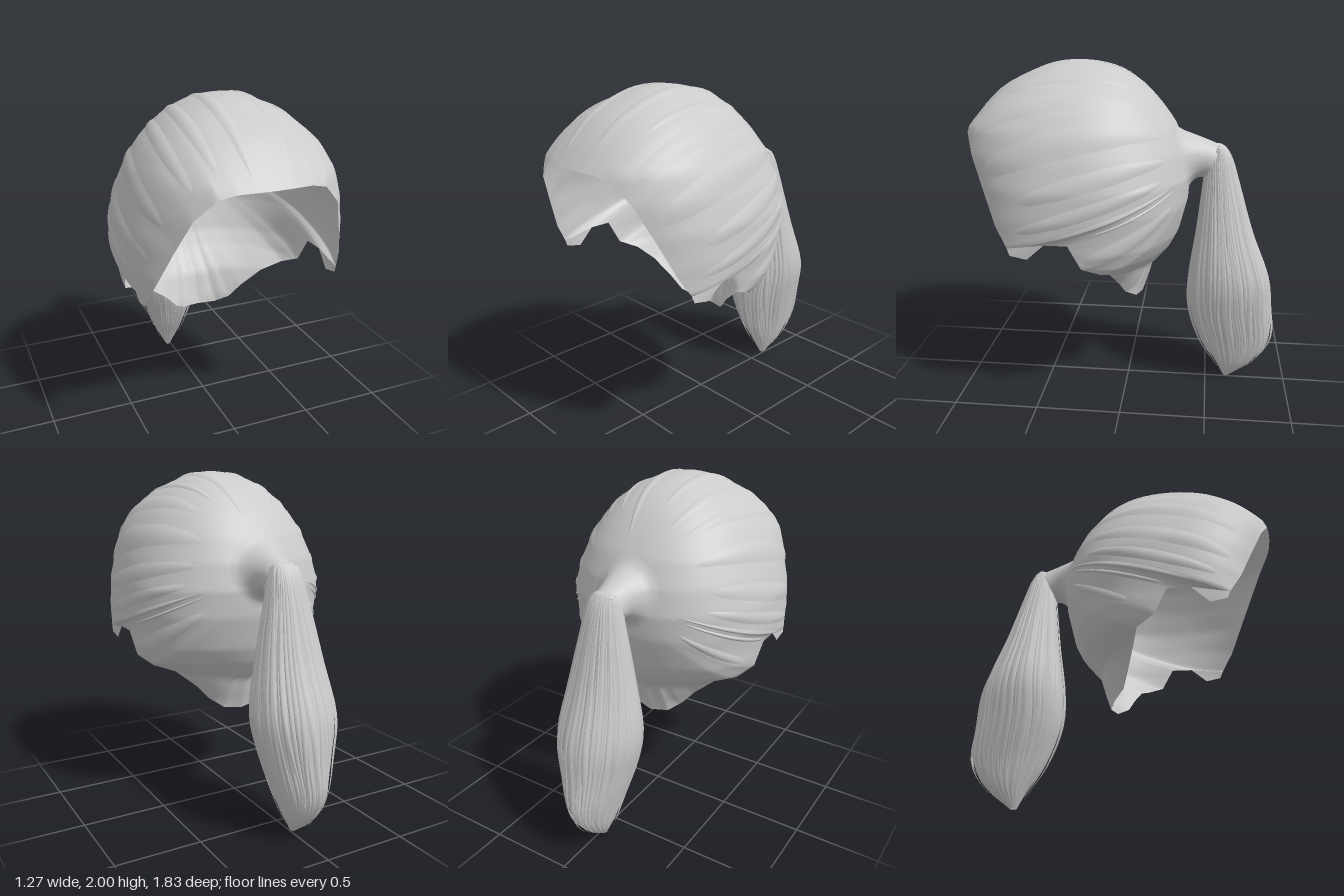
import * as THREE from 'three';

const V = (x, y, z) => new THREE.Vector3(x, y, z);
const material = new THREE.MeshStandardMaterial({ color: 0xcccccc, side: THREE.DoubleSide });

// Grid surface from fn(u, v), optionally closed around u
function gridMesh(name, fn, nu, nv, closed = false) {
  const pos = [], idx = [], cols = closed ? nu : nu + 1;
  for (let j = 0; j <= nv; j++)
    for (let i = 0; i < cols; i++) pos.push(...fn(i / nu, j / nv).toArray());
  for (let j = 0; j < nv; j++)
    for (let i = 0; i < nu; i++) {
      const a = j * cols + i, b = j * cols + (i + 1) % cols, c = a + cols, d = b + cols;
      idx.push(a, c, b, b, c, d);
    }
  const g = new THREE.BufferGeometry();
  g.setAttribute('position', new THREE.Float32BufferAttribute(pos, 3));
  g.setIndex(idx);
  g.computeVertexNormals();
  const mesh = new THREE.Mesh(g, material);
  mesh.name = name;
  return mesh;
}

function seeded(seed) {
  return () => (seed = (seed * 16807) % 2147483647) / 2147483647;
}

// Skull cross-sections: y, half width, front z, back z
const SKULL = [
  [2.0, 0, 0.3, 0.3], [1.95, 0.2, 0.53, 0.04], [1.86, 0.34, 0.71, -0.1], [1.75, 0.45, 0.83, -0.2],
  [1.64, 0.52, 0.92, -0.28], [1.5, 0.575, 0.94, -0.34], [1.35, 0.61, 0.93, -0.37],
  [1.2, 0.61, 0.9, -0.36], [1.0, 0.59, 0.85, -0.31], [0.9, 0.56, 0.8, -0.26],
  [0.77, 0.45, 0.7, -0.15], [0.58, 0.3, 0.6, -0.09],
];
const CENTER = V(0, 1.25, 0.25);

function insideSkull(p) {
  if (p.y >= 2) return false;
  let i = 0;
  while (i < SKULL.length - 2 && p.y < SKULL[i + 1][0]) i++;
  const A = SKULL[i], B = SKULL[i + 1];
  const k = Math.min(1, (A[0] - p.y) / (A[0] - B[0]));
  const mix = f => f(A) + (f(B) - f(A)) * k;
  const w = Math.sqrt(mix(s => s[1] ** 2));
  const d = Math.sqrt(mix(s => ((s[2] - s[3]) / 2) ** 2));
  const zc = mix(s => (s[2] + s[3]) / 2);
  return Math.abs(p.x / w) ** 2.3 + Math.abs((p.z - zc) / d) ** 2.3 < 1;
}

function skullRadius(dir) {
  let lo = 0, hi = 1.6;
  for (let i = 0; i < 24; i++) {
    const m = (lo + hi) / 2;
    if (insideSkull(CENTER.clone().addScaledVector(dir, m))) lo = m; else hi = m;
  }
  return lo;
}

// Hairline, from mid forehead down the left side to the nape, then mirrored
const HALF = [
  [0, 1.64, 0.92], [0.1, 1.64, 0.915], [0.2, 1.637, 0.9], [0.29, 1.615, 0.88], [0.395, 1.51, 0.83],
  [0.47, 1.32, 0.75], [0.53, 1.15, 0.68], [0.565, 1.03, 0.61], [0.58, 1.06, 0.4], [0.58, 1.06, 0.27],
  [0.56, 0.92, 0.2], [0.5, 0.87, 0.1], [0.37, 0.82, 0.07], [0.25, 0.72, 0.03], [0.18, 0.64, 0],
  [0.11, 0.59, -0.06], [0, 0.58, -0.09],
].map(p => V(...p));
const LOOP = [...HALF, ...HALF.slice(1, -1).reverse().map(p => V(-p.x, p.y, p.z))];

function hairline(u) {
  const t = (((u % 1) + 1) % 1) * LOOP.length, i = Math.floor(t) % LOOP.length;
  return LOOP[i].clone().lerp(LOOP[(i + 1) % LOOP.length], t - Math.floor(t));
}

const POLE = V(0, 0.21, -0.65).normalize();
const POLE_UP = V(0, -POLE.z, POLE.y);
const NECK = 0.16, START = 0.27;

// Point on the combed hair: v = 0 at the tie, v = 1 at the hairline
function capPoint(u, v, lift = 0) {
  const ray = hairline(u).sub(CENTER), reach = ray.length();
  const dir = ray.normalize(), full = POLE.angleTo(dir);
  const side = dir.clone().addScaledVector(POLE, -dir.dot(POLE)).normalize();
  const scale = reach / skullRadius(dir);
  const onSkull = k => {
    const a = START + (full - START) * k;
    const d = POLE.clone().multiplyScalar(Math.cos(a)).addScaledVector(side, Math.sin(a));
    const r = skullRadius(d) * (1 + (scale - 1) * k * k) + lift;
    return CENTER.clone().addScaledVector(d, r);
  };
  if (v >= NECK) return onSkull((v - NECK) / (1 - NECK));
  // Narrow neck gathered into the tie
  const up = side.dot(POLE_UP);
  const end = V(side.x * 0.1, 1.42 + up * 0.095, -0.5 - up * 0.05);
  const mid = V(side.x * 0.095, 1.45 + up * 0.115, -0.42 - up * 0.015);
  return new THREE.QuadraticBezierCurve3(end, mid, onSkull(0)).getPoint(v / NECK);
}

// Ponytail sections, top to tip: y, centre z, depth radius, width radius
const TAIL = [
  [1.525, -0.53, 0, 0], [1.51, -0.535, 0.035, 0.07], [1.44, -0.54, 0.075, 0.1], [1.3, -0.555, 0.105, 0.13],
  [1.0, -0.585, 0.165, 0.19], [0.72, -0.62, 0.235, 0.23], [0.5, -0.635, 0.25, 0.19],
  [0.28, -0.675, 0.225, 0.13], [0.12, -0.675, 0.13, 0.08], [0, -0.635, 0.02, 0.015],
];
const tailPath = new THREE.CatmullRomCurve3(TAIL.map(s => V(s[0], s[1], s[2])), false, 'catmullrom');
const tailWidth = new THREE.CatmullRomCurve3(TAIL.map(s => V(s[3], 0, 0)), false, 'catmullrom');

function tailPoint(angle, t, size) {
  const s = tailPath.getPoint(t), w = tailWidth.getPoint(t).x;
  return V(Math.sin(angle) * w * size - 0.02 * t, s.x, s.y + Math.cos(angle) * s.z * size);
}

export function createModel() {
  const model = new THREE.Group();
  model.name = 'ponytailHair';
  const rand = seeded(4711);

  // Combed-back cap
  model.add(gridMesh('hairCap', (u, v) => capPoint(u, v), LOOP.length * 6, 36, true));

  // Slightly raised strands running from the tie towards the hairline
  const strands = new THREE.Group();
  strands.name = 'combedStrands';
  for (const u of [0.03, 0.075, 0.11, 0.145, 0.175, 0.2, 0.225, 0.265, 0.305])
    for (const sign of [1, -1]) {
      const from = 0.25 + rand() * 0.2, to = 0.8 + rand() * 0.18, width = 0.006 + rand() * 0.005;
      strands.add(gridMesh('combedStrand', (a, b) => {
        const fade = Math.sqrt(Math.max(0, Math.sin(Math.PI * b)));
        return capPoint(sign * u + (a - 0.5) * width * 2 * (0.3 + 0.7 * fade),
          from + (to - from) * b, 0.008 * Math.sin(Math.PI * a) * fade + 0.001);
      }, 4, 18));
    }
  model.add(strands);

  // Pointed sideburns in front of the ears
  for (const s of [1, -1]) {
    const top = [V(s * 0.565, 1.03, 0.61), V(s * 0.58, 1.06, 0.4)];
    const low = [V(s * 0.57, 0.99, 0.595), V(s * 0.57, 0.97, 0.5)];
    model.add(gridMesh(s > 0 ? 'leftSideburn' : 'rightSideburn', (u, v) => {
      const k = s > 0 ? u : 1 - u;
      return top[0].clone().lerp(top[1], k).lerp(low[0].clone().lerp(low[1], k), v);
    }, 2, 2));
  }

  // Ponytail: ridged core with overlapping locks that fray at the tips
  const tail = new THREE.Group();
  tail.name = 'ponytail';
  tail.add(gridMesh('ponytailCore', (u, v) =>
    tailPoint(u * Math.PI * 2, v, 0.9 + 0.03 * Math.sin(u * Math.PI * 2 * 24)), 96, 44, true));
  const count = 90;
  for (let i = 0; i < count; i++) {
    const angle = ((i + rand() * 0.6) / count) * Math.PI * 2;
    const size = 0.89 + rand() * 0.13, end = 0.82 + rand() * 0.15;
    const width = 0.045 + rand() * 0.04, sway = (rand() - 0.5) * 0.2, phase = rand() * 6;
    const flare = rand() * 0.9;
    tail.add(gridMesh('ponytailLock', (u, v) => {
      const t = 0.12 + (end - 0.12) * v;
      const taper = v < 0.75 ? 1 : Math.max(0.04, (1 - v) / 0.25);
      const a = angle + sway * Math.sin(v * 5 + phase) + (u - 0.5) * 2 * width * taper;
      return tailPoint(a, t,
        size + 0.05 * Math.sin(Math.PI * u) * taper + flare * Math.max(0, t - 0.78));
    }, 2, 26));
  }
  model.add(tail);
  return model;
}
